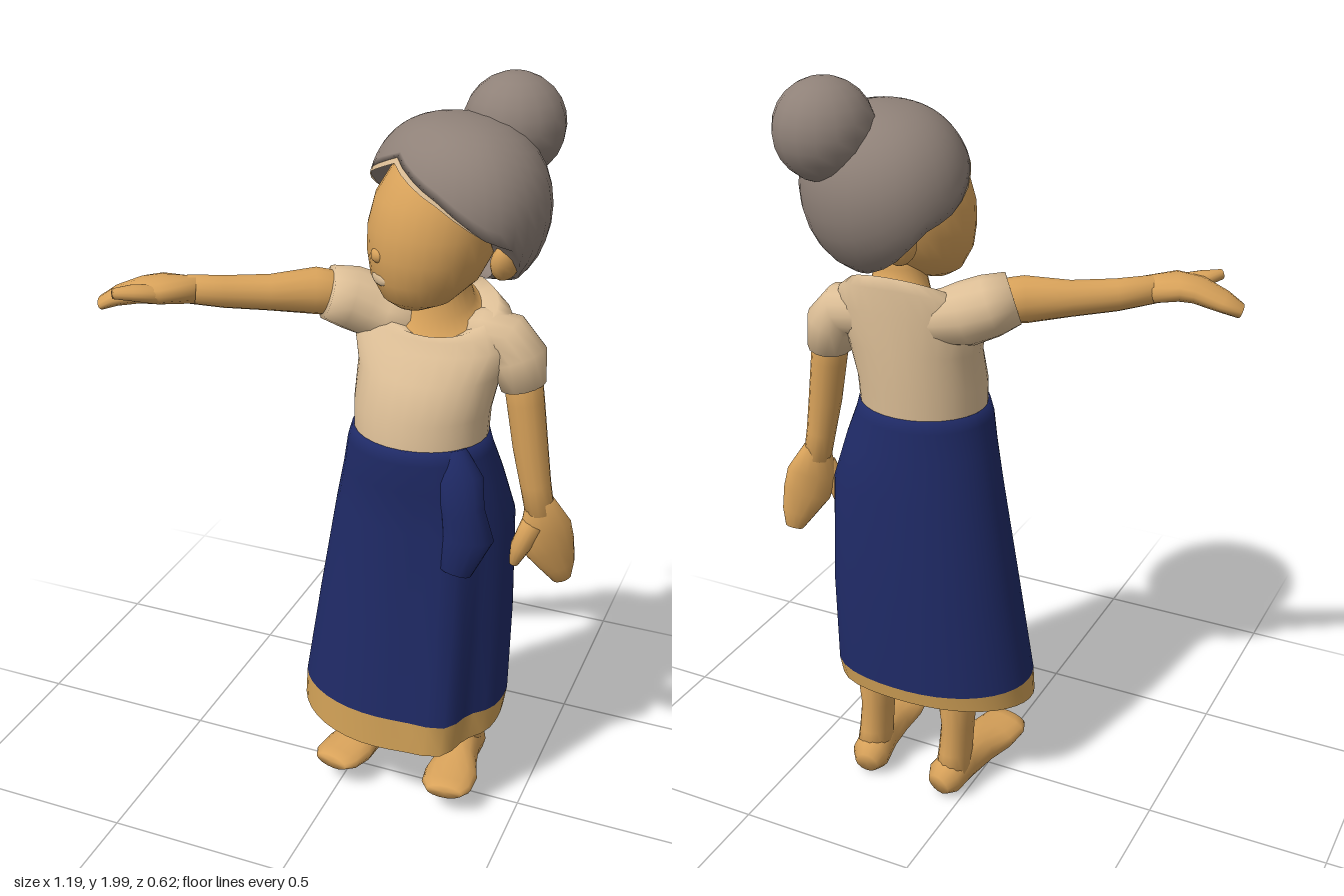
import * as THREE from 'three';

const paint = (name, color, side = THREE.FrontSide) => {
  const m = new THREE.MeshStandardMaterial({ color, side });
  m.name = name;
  return m;
};

export function createModel() {
  const skin = paint('skin', 0xd8a25a);
  const blouse = paint('blouse cream', 0xdcbe96, THREE.DoubleSide);
  const hair = paint('grey hair', 0x8f8178, THREE.DoubleSide);
  const cloth = paint('skirt blue', 0x1f2a66);
  const trim = paint('skirt trim', 0xd0a056, THREE.DoubleSide);
  const model = new THREE.Group();
  model.name = 'woman';

  const add = (parent, name, geometry, material) => {
    const mesh = new THREE.Mesh(geometry, material);
    mesh.name = name;
    parent.add(mesh);
    return mesh;
  };

  // Skin a list of closed rings, with optional rounded-off ends
  function loft(rings, capStart = true, capEnd = true) {
    const n = rings[0].length, pts = rings.flat(), index = [];
    for (let i = 0; i < rings.length - 1; i++)
      for (let j = 0; j < n; j++) {
        const a = i * n + j, b = i * n + (j + 1) % n;
        index.push(a, b, a + n, b, b + n, a + n);
      }
    const cap = (ring, base, flip) => {
      const c = ring.reduce((s, p) => s.add(p), new THREE.Vector3()).divideScalar(n);
      const k = pts.push(c) - 1;
      for (let j = 0; j < n; j++) {
        const a = base + j, b = base + (j + 1) % n;
        index.push(k, flip ? b : a, flip ? a : b);
      }
    };
    if (capStart) cap(rings[0], 0, true);
    if (capEnd) cap(rings.at(-1), (rings.length - 1) * n, false);
    const g = new THREE.BufferGeometry().setFromPoints(pts);
    g.setIndex(index);
    g.computeVertexNormals();
    return g;
  }

  // Level oval ring, angle 0 at the front; tilt lowers the front edge
  function oval([y, cx, cz, rx, rz, tilt = 0], n = 28, bulge = () => 1) {
    return Array.from({ length: n }, (_, j) => {
      const a = (j / n) * Math.PI * 2, k = bulge(a);
      return new THREE.Vector3(cx + rx * k * Math.sin(a), y - tilt * Math.cos(a), cz + rz * k * Math.cos(a));
    });
  }

  // Tapered limb through [x, y, z, halfWidth, halfThickness]; ref is the thin direction
  function limb(stations, ref = [0, 1, 0], n = 14) {
    const p = stations.map(s => new THREE.Vector3(s[0], s[1], s[2]));
    const up = new THREE.Vector3(...ref);
    return loft(stations.map(([, , , ra, rb = ra], i) => {
      const t = p[Math.min(i + 1, p.length - 1)].clone().sub(p[Math.max(i - 1, 0)]).normalize();
      const side = up.clone().cross(t).normalize(), nrm = t.clone().cross(side);
      return Array.from({ length: n }, (_, j) => {
        const a = (j / n) * Math.PI * 2;
        return p[i].clone().addScaledVector(side, ra * Math.cos(a)).addScaledVector(nrm, rb * Math.sin(a));
      });
    }));
  }

  // Wrapped skirt: a fold at the front left and fullness at the back left
  const bump = (a, at, width) => Math.exp(-(((a - at) / width) ** 2));
  const fold = (front, back) => a =>
    1 + front * (bump(a, 0.6, 0.22) - 0.5 * bump(a, 1.05, 0.2)) + back * bump(a, 2.3, 0.5);
  const hemTop = oval([0.34, 0.15, -0.005, 0.278, 0.2], 40, fold(0.12, 0.13));
  add(model, 'skirt', loft([
    hemTop,
    oval([0.6, 0.17, -0.012, 0.26, 0.188], 40, fold(0.1, 0.13)),
    oval([0.9, 0.195, -0.01, 0.235, 0.17], 40, fold(0.06, 0.09)),
    oval([1.02, 0.195, 0.003, 0.208, 0.166], 40, fold(0.03, 0.04)),
    oval([1.1, 0.19, 0.01, 0.188, 0.165], 40),
    oval([1.135, 0.19, 0.01, 0.178, 0.158], 40),
    oval([1.13, 0.19, 0.005, 0.15, 0.13], 40),
  ], false, false), cloth);

  // Trim and the lining that closes the skirt underneath
  add(model, 'skirtTrim', loft([oval([0.272, 0.145, 0, 0.275, 0.2, 0.028], 40, fold(0.12, 0.13)), hemTop], false, false), trim);
  add(model, 'skirtLining', loft([
    oval([0.274, 0.145, 0, 0.271, 0.196, 0.028], 40, fold(0.12, 0.13)),
    oval([0.335, 0.15, -0.005, 0.25, 0.175], 40),
  ], false, true), trim);

  // Gathered waist end with a hanging tail
  add(model, 'waistTail', limb([
    [0.31, 1.13, 0.1, 0.03, 0.025], [0.33, 1.06, 0.115, 0.06, 0.04], [0.345, 0.98, 0.125, 0.055, 0.038],
    [0.36, 0.9, 0.12, 0.066, 0.038], [0.335, 0.805, 0.135, 0.042, 0.025],
  ], [0.3, 0, 1]), cloth);

  // Blouse with a scooped neckline, then the chest and neck filling it
  const neckline = oval([1.437, 0.215, -0.05, 0.1, 0.087, 0.053]);
  add(model, 'blouse', loft([
    oval([1.1, 0.19, 0.008, 0.172, 0.152]),
    oval([1.2, 0.19, 0.002, 0.176, 0.152]),
    oval([1.3, 0.2, -0.018, 0.185, 0.134, 0.01]),
    oval([1.38, 0.202, -0.042, 0.21, 0.108, 0.03]),
    oval([1.43, 0.205, -0.05, 0.19, 0.098, 0.05]),
    oval([1.452, 0.208, -0.052, 0.15, 0.092, 0.06]),
    neckline,
  ], false, false), blouse);
  add(model, 'neck', loft([
    neckline,
    oval([1.46, 0.217, -0.055, 0.08, 0.066, 0.03]),
    oval([1.52, 0.22, -0.05, 0.062, 0.062]),
    oval([1.6, 0.23, -0.04, 0.065, 0.065]),
  ], false), skin);

  // Raised right arm
  add(model, 'rightSleeve', limb([
    [0.16, 1.385, -0.058, 0.07, 0.06], [0.09, 1.4, -0.058, 0.08, 0.072], [0.035, 1.415, -0.052, 0.087, 0.082],
    [-0.02, 1.437, -0.03, 0.086, 0.08], [-0.07, 1.455, 0, 0.076, 0.068],
  ]), blouse);
  add(model, 'rightArm', limb([
    [-0.02, 1.445, -0.025, 0.055], [-0.1, 1.455, 0.005, 0.054, 0.06], [-0.2, 1.455, 0.06, 0.044, 0.046],
    [-0.3, 1.462, 0.115, 0.039, 0.041], [-0.38, 1.474, 0.162, 0.036],
  ]), skin);
  add(model, 'rightHand', limb([
    [-0.36, 1.472, 0.155, 0.037, 0.035], [-0.43, 1.48, 0.195, 0.066, 0.034], [-0.48, 1.474, 0.205, 0.058, 0.031],
    [-0.545, 1.452, 0.21, 0.05, 0.024], [-0.588, 1.43, 0.222, 0.036, 0.016],
  ]), skin);
  add(model, 'rightThumb', limb([
    [-0.42, 1.475, 0.225, 0.03, 0.024], [-0.475, 1.485, 0.262, 0.028, 0.02], [-0.51, 1.49, 0.297, 0.013],
  ]), skin);

  // Lowered left arm
  add(model, 'leftSleeve', limb([
    [0.25, 1.37, -0.058, 0.06, 0.065], [0.33, 1.38, -0.06, 0.07], [0.385, 1.375, -0.06, 0.07],
    [0.418, 1.335, -0.058, 0.072], [0.434, 1.262, -0.055, 0.07, 0.056],
  ], [1, 0.8, 0]), blouse);
  add(model, 'leftArm', limb([
    [0.425, 1.32, -0.055, 0.05], [0.443, 1.22, -0.052, 0.048], [0.463, 1.1, -0.048, 0.045],
    [0.482, 1, -0.047, 0.04], [0.497, 0.92, -0.05, 0.038],
  ], [0, 0, 1]), skin);
  add(model, 'leftHand', limb([
    [0.495, 0.95, -0.05, 0.037], [0.512, 0.87, -0.055, 0.07, 0.036], [0.527, 0.81, -0.068, 0.066, 0.032],
    [0.548, 0.75, -0.085, 0.045, 0.024], [0.557, 0.707, -0.095, 0.025, 0.015],
  ], [0.5, 0, 0.85]), skin);
  add(model, 'leftThumb', limb([
    [0.485, 0.89, -0.03, 0.03], [0.46, 0.825, -0.015, 0.026], [0.443, 0.768, -0.025, 0.013],
  ], [0, 0, 1]), skin);

  // Legs and feet
  for (const [side, x, yaw] of [['right', 0.042, -0.22], ['left', 0.297, 0.1]]) {
    const leg = new THREE.Group();
    leg.name = side + 'Leg';
    leg.position.set(x, 0, -0.13);
    model.add(leg);
    add(leg, side + 'Shin', limb([
      [0, 0.06, -0.01, 0.05, 0.058], [0, 0.13, 0.005, 0.045, 0.06], [-0.005, 0.22, 0.012, 0.043, 0.062],
      [0, 0.36, 0.02, 0.06, 0.068], [0.01, 0.6, 0.06, 0.075],
    ], [0, 0, 1]), skin);
    const foot = add(leg, side + 'Foot', limb([
      [0, 0.05, -0.076, 0.034, 0.035], [0, 0.058, -0.045, 0.054, 0.055], [0, 0.075, 0.03, 0.05, 0.066],
      [0, 0.08, 0.1, 0.058, 0.054], [0, 0.083, 0.17, 0.074, 0.037], [0, 0.087, 0.23, 0.07, 0.028],
      [0, 0.09, 0.262, 0.05, 0.019],
    ]), skin);
    foot.rotation.y = yaw;
  }

  // Head, turned towards the raised arm; its heights stay in model units
  const head = new THREE.Group();
  head.name = 'head';
  head.position.set(0.25, 0, -0.045);
  head.rotation.y = -0.69;
  model.add(head);
  add(head, 'face', loft([
    oval([1.475, 0, 0.12, 0.045, 0.04]),
    oval([1.497, 0, 0.105, 0.09, 0.085]),
    oval([1.55, 0, 0.085, 0.132, 0.132]),
    oval([1.61, 0, 0.072, 0.154, 0.152]),
    oval([1.67, 0, 0.064, 0.16, 0.158]),
    oval([1.74, 0, 0.045, 0.156, 0.158]),
    oval([1.8, 0, 0.012, 0.14, 0.152]),
    oval([1.85, 0, 0, 0.1, 0.12]),
  ]), skin);
  const nose = add(head, 'nose', new THREE.SphereGeometry(0.02, 10, 8), skin);
  nose.position.set(0, 1.615, 0.218);
  nose.scale.set(1.1, 0.9, 0.7);
  const mouth = add(head, 'mouth', new THREE.SphereGeometry(0.034, 12, 8), blouse);
  mouth.position.set(0, 1.557, 0.211);
  mouth.scale.set(1, 0.5, 0.3);
  for (const s of [-1, 1]) {
    const ear = add(head, s > 0 ? 'leftEar' : 'rightEar', new THREE.SphereGeometry(0.05, 12, 10), skin);
    ear.position.set(s * 0.165, 1.61, -0.035);
    ear.scale.set(0.6, 1.05, 0.8);
    ear.rotation.z = -s * 0.3;
  }

  // Hairline: high over the brow, dropping behind the ears (angle from front, degrees from crown)
  const line = [[0, 52], [0.7, 74], [1.2, 96], [1.6, 106], [2, 135], [2.5, 152], [Math.PI, 156]];
  const hairline = a => {
    const f = Math.abs(a > Math.PI ? a - 2 * Math.PI : a);
    const i = Math.max(1, line.findIndex(([v]) => v >= f - 1e-6));
    const [a0, t0] = line[i - 1], [a1, t1] = line[i];
    return THREE.MathUtils.degToRad(THREE.MathUtils.lerp(t0, t1, (f - a0) / (a1 - a0)));
  };
  const rows = 12;
  const hairRing = (polar, inset = 1) => Array.from({ length: 36 }, (_, j) => {
    const a = (j / 36) * Math.PI * 2, t = polar(a), r = Math.sin(t) ** 0.8 * inset;
    const back = (1 - Math.cos(a)) / 2;
    return new THREE.Vector3(
      0.246 * r * Math.sin(a),
      1.718 + (0.202 + (t > 1.57 ? 0.02 * back : 0)) * Math.cos(t),
      (0.203 + 0.014 * back) * r * Math.cos(a));
  });
  const cap = [hairRing(hairline, 0.6)];
  for (let i = rows; i >= 0; i--) cap.push(hairRing(a => hairline(a) * Math.max(0.02, i / rows)));
  add(head, 'hair', loft(cap, false, true), hair);

  // Pale edge of the hair over the brow
  add(head, 'browEdge', loft([
    hairRing(a => hairline(a) + 0.12 * Math.max(0, Math.cos(a) - 0.35)), hairRing(hairline),
  ], false, false), blouse);

  // Bun on the back of the crown
  const bun = add(model, 'hairBun', new THREE.SphereGeometry(0.126, 16, 12), hair);
  bun.position.set(0.34, 1.874, -0.185);

  return model;
}
